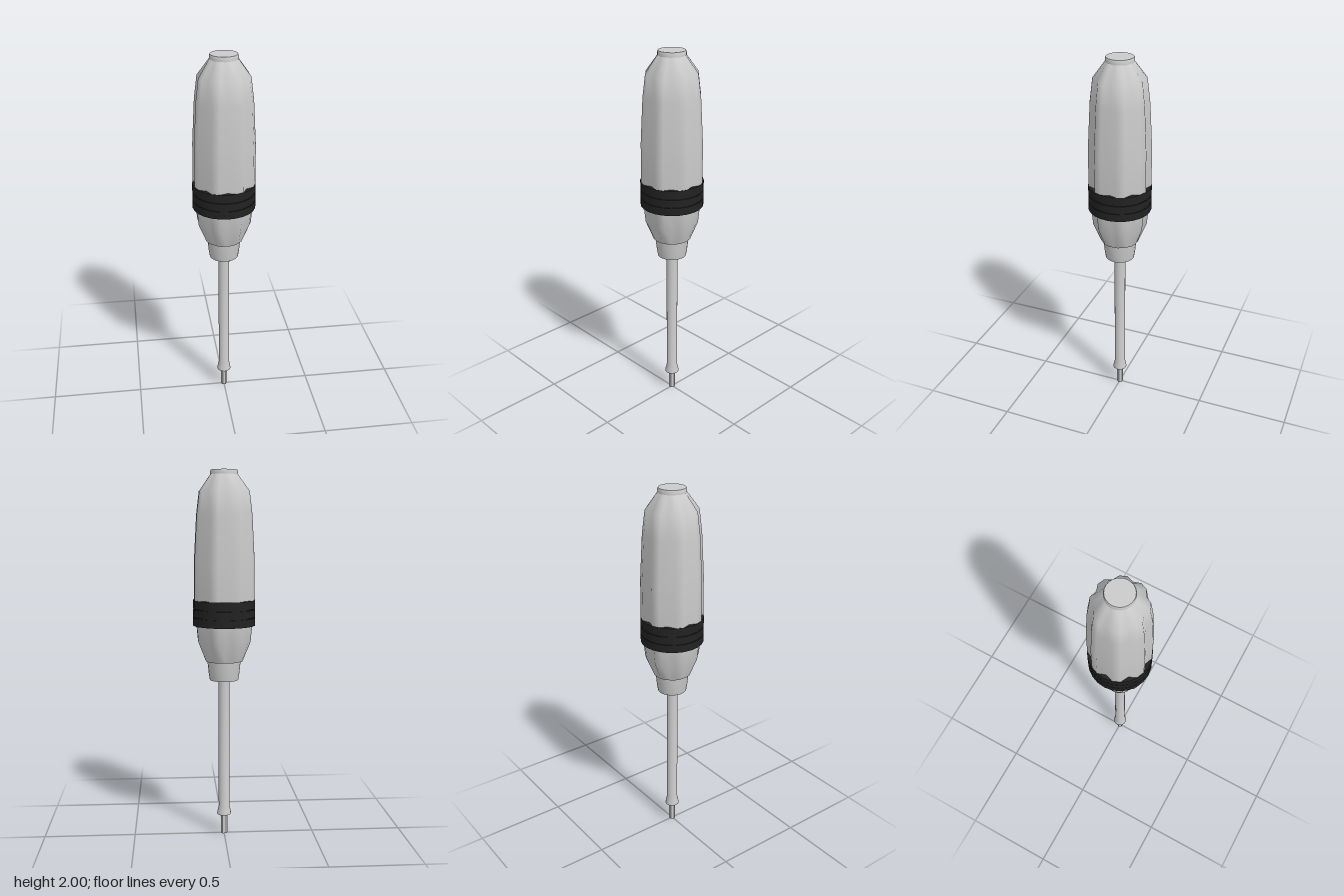
import * as THREE from 'three';
import { toCreasedNormals } from 'three/addons/utils/BufferGeometryUtils.js';

const SIDES = 24;
const grey = new THREE.MeshStandardMaterial({ color: 0xcccccc });
const black = new THREE.MeshStandardMaterial({ color: 0x222222 });

// Lathe a list of [radius, y] points, listed from bottom to top
const lathe = (profile, sides) =>
  new THREE.LatheGeometry(profile.map(([r, y]) => new THREE.Vector2(r, y)), sides);

function part(name, geometry, material = grey, crease = 0.6) {
  const mesh = new THREE.Mesh(toCreasedNormals(geometry, crease), material);
  mesh.name = name;
  return mesh;
}

// Handle grip: every third column of vertices is pulled in to make eight flutes
function gripGeometry() {
  // ridge radius, y, valley radius
  const rings = [
    [0.102, 0.985, 0.1], [0.145, 1.09, 0.128], [0.155, 1.19, 0.136], [0.166, 1.32, 0.145],
    [0.165, 1.53, 0.145], [0.152, 1.77, 0.134], [0.137, 1.89, 0.121], [0.073, 1.977, 0.072],
  ];
  const geometry = lathe(rings, SIDES);
  const pos = geometry.attributes.position;
  for (let column = 0; column <= SIDES; column += 3) {
    rings.forEach(([ridge, y, valley], j) => {
      const i = column * rings.length + j;
      const k = valley / ridge;
      pos.setXYZ(i, pos.getX(i) * k, y, pos.getZ(i) * k);
    });
  }
  return geometry;
}

export function createModel() {
  const model = new THREE.Group();
  model.name = 'screwdriver';

  // Handle with end cap and lower collar
  model.add(part('handleGrip', gripGeometry(), grey, 0.85));
  model.add(part('endCap', lathe([[0.073, 1.973], [0.073, 1.993], [0.07, 2], [0, 2]], SIDES)));
  model.add(part('collar', lathe(
    [[0, 0.88], [0.078, 0.88], [0.083, 0.91], [0.091, 0.985], [0.102, 0.985]], SIDES)));

  // Rubber band: three rings parted by narrow grooves
  const band = [[0.12, 1.18]];
  for (const [low, high] of [[1.18, 1.222], [1.226, 1.267], [1.271, 1.317]]) {
    if (low > 1.18) band.push([0.163, low]);
    band.push([0.168, low], [0.168, high]);
    if (high < 1.31) band.push([0.163, high]);
  }
  band.push([0.12, 1.317]);
  model.add(part('gripBand', lathe(band, SIDES), black));

  // Shaft flaring into the bit socket
  model.add(part('shaft', lathe(
    [[0, 0.113], [0.039, 0.113], [0.037, 0.13], [0.03, 0.16], [0.03, 0.885]], 16)));

  // Hexagonal bit
  const bit = new THREE.CylinderGeometry(0.018, 0.018, 0.12, 6);
  bit.rotateY(Math.PI / 6).translate(0, 0.06, 0);
  model.add(part('hexBit', bit));

  return model;
}
